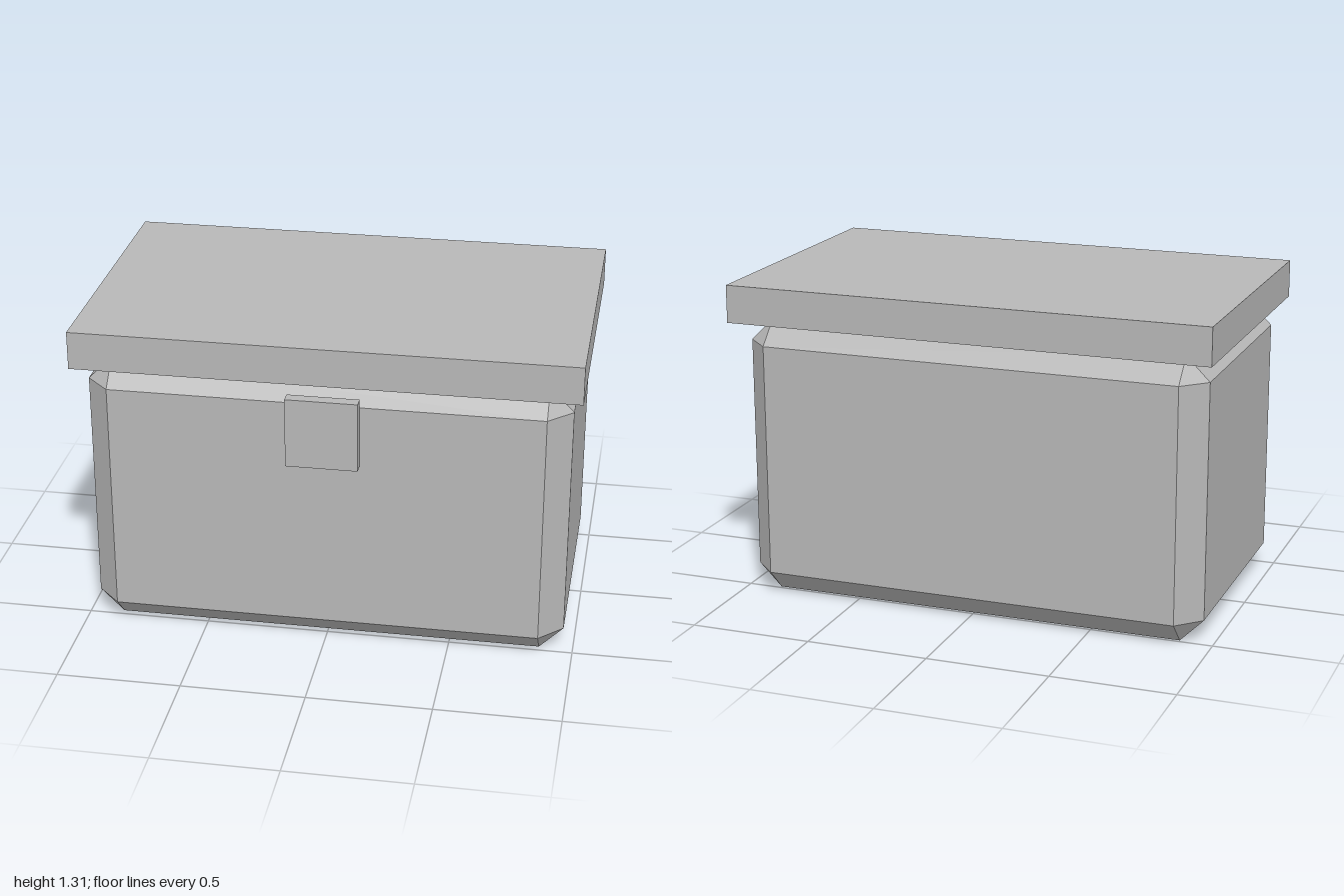
import * as THREE from 'three';
import { ConvexGeometry } from 'three/addons/geometries/ConvexGeometry.js';

const CENTRE_Z = -0.007;

// Box with every edge cut at 45 degrees, centred on the origin
function chamferedBox(width, height, depth, cut) {
  const half = [width / 2, height / 2, depth / 2];
  const points = [];
  for (const sx of [-1, 1]) for (const sy of [-1, 1]) for (const sz of [-1, 1]) {
    const signs = [sx, sy, sz];
    // Each corner becomes three points, one lying on each adjoining face
    for (let face = 0; face < 3; face++) {
      points.push(new THREE.Vector3(
        ...signs.map((s, i) => s * (half[i] - (i === face ? 0 : cut)))
      ));
    }
  }
  return new ConvexGeometry(points);
}

export function createModel() {
  const group = new THREE.Group();
  group.name = 'chest';

  const grey = new THREE.MeshStandardMaterial({ color: 0xb8b8b8 });
  grey.name = 'grey';

  function add(name, geometry, x, y, z) {
    const mesh = new THREE.Mesh(geometry, grey);
    mesh.name = name;
    mesh.position.set(x, y, z);
    group.add(mesh);
  }

  // Chamfered container
  add('body', chamferedBox(1.92, 1.154, 1.152, 0.096), 0, 0.577, CENTRE_Z);

  // Overhanging flat lid
  add('lid', new THREE.BoxGeometry(2, 0.154, 1.23), 0, 1.231, CENTRE_Z);

  // Front latch plate, standing just clear of the body
  add('latch', new THREE.BoxGeometry(0.286, 0.286, 0.048), 0, 0.952, 0.598);

  return group;
}
